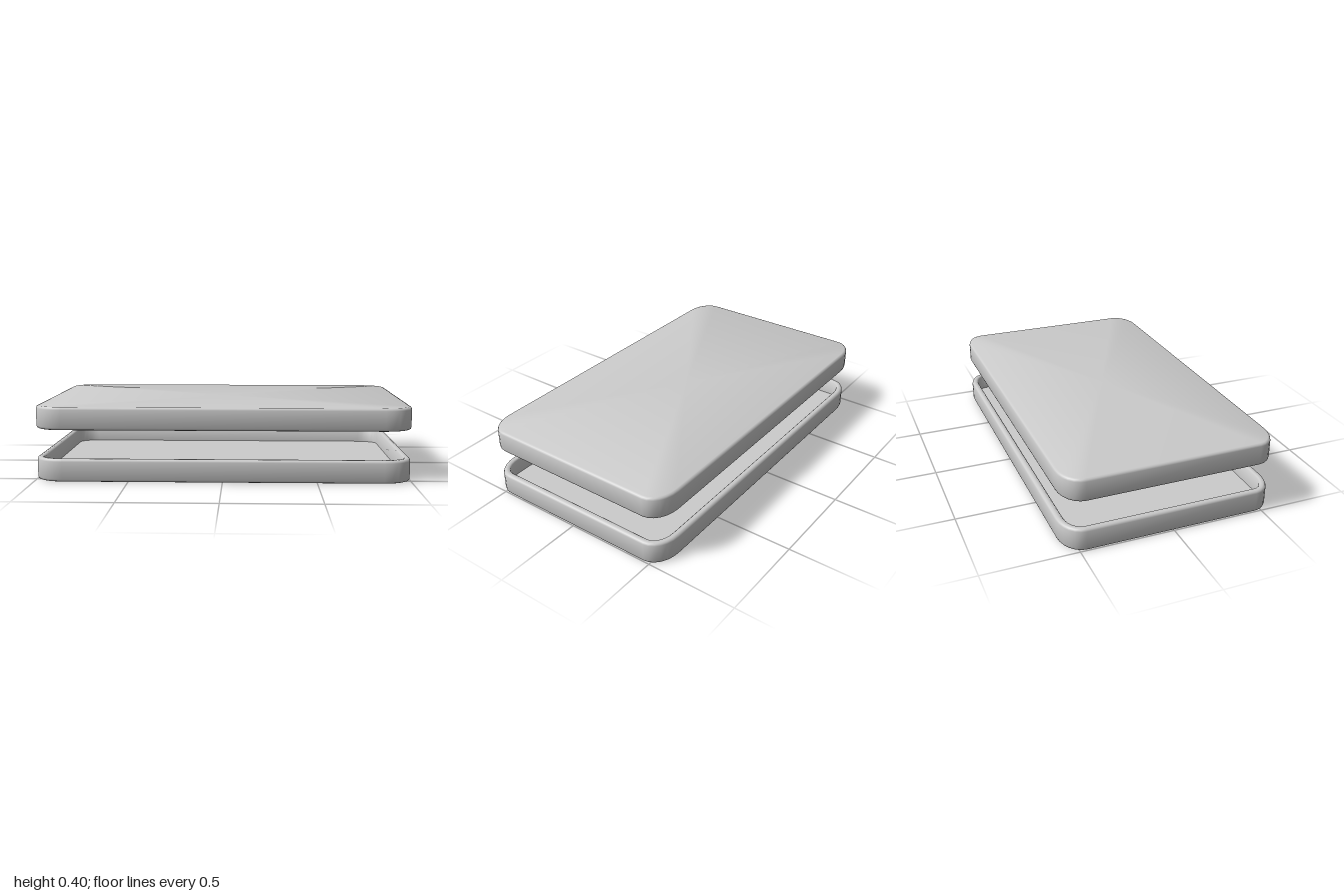
import * as THREE from 'three';
import { toCreasedNormals } from 'three/addons/utils/BufferGeometryUtils.js';

const HALF_X = 1, HALF_Z = 0.575, HEIGHT = 0.122, TOTAL = 0.398;
const CORNER_X = 0.15, CORNER_Z = 0.11, STEPS = 6;

// Rounded-rectangle outline, shrunk by an inset, at a given height
function ring(inset, y) {
  const points = [];
  for (let corner = 0; corner < 4; corner++) {
    const sx = corner === 0 || corner === 3 ? 1 : -1;
    const sz = corner < 2 ? 1 : -1;
    for (let i = 0; i <= STEPS; i++) {
      const a = (corner + i / STEPS) * Math.PI / 2;
      points.push([
        sx * (HALF_X - CORNER_X) + (CORNER_X - inset) * Math.cos(a),
        y,
        sz * (HALF_Z - CORNER_Z) + (CORNER_Z - inset) * Math.sin(a),
      ]);
    }
  }
  return points;
}

// Open tray: underside, bevelled outer wall, rim, inner wall and floor
function trayGeometry() {
  const floorY = 0.03;
  const rings = [
    [0.014, 0], [0.004, 0.004], [0, 0.014],
    [0, HEIGHT - 0.014], [0.004, HEIGHT - 0.004], [0.014, HEIGHT],
    [0.03, HEIGHT], [0.037, HEIGHT - 0.007], [0.037, floorY],
  ].map(([inset, y]) => ring(inset, y));
  const n = rings[0].length;
  const last = rings.length - 1;
  const positions = [];
  const triangle = (a, b, c) => positions.push(...a, ...b, ...c);
  for (let i = 0; i < n; i++) {
    const k = (i + 1) % n;
    triangle([0, 0, 0], rings[0][i], rings[0][k]);
    for (let j = 0; j < last; j++) {
      const lower = rings[j], upper = rings[j + 1];
      triangle(lower[i], upper[i], lower[k]);
      triangle(lower[k], upper[i], upper[k]);
    }
    triangle([0, floorY, 0], rings[last][k], rings[last][i]);
  }
  const geometry = new THREE.BufferGeometry();
  geometry.setAttribute('position', new THREE.Float32BufferAttribute(positions, 3));
  return toCreasedNormals(geometry, 0.9);
}

export function createModel() {
  const model = new THREE.Group();
  model.name = 'twoPartCase';
  const material = new THREE.MeshStandardMaterial({ color: 0xcccccc });
  const geometry = trayGeometry();

  // Lower half opens upward
  const base = new THREE.Mesh(geometry, material);
  base.name = 'caseBase';

  // Upper half is the same tray turned over, floating above
  const lid = new THREE.Mesh(geometry, material);
  lid.name = 'caseLid';
  lid.rotation.x = Math.PI;
  lid.position.y = TOTAL;

  model.add(base, lid);
  return model;
}
